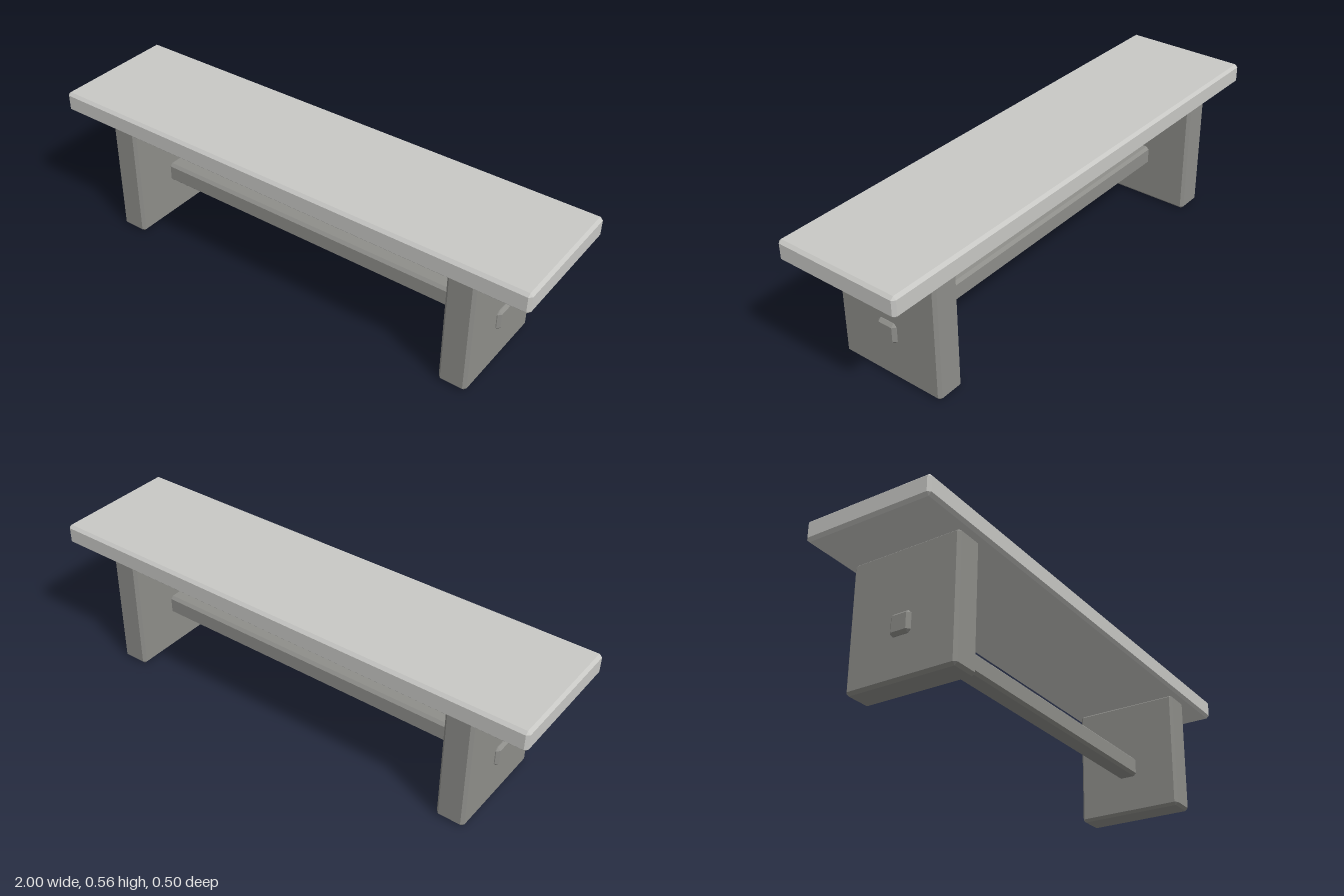
import * as THREE from 'three';
import { ConvexGeometry } from 'three/addons/geometries/ConvexGeometry.js';

// Box with every edge chamfered: three corner points at each of the 8 corners
function chamferedBox(w, h, d, c) {
  const points = [];
  for (const sx of [-1, 1]) for (const sy of [-1, 1]) for (const sz of [-1, 1]) {
    const x = w / 2, y = h / 2, z = d / 2;
    points.push(
      new THREE.Vector3(sx * x, sy * (y - c), sz * (z - c)),
      new THREE.Vector3(sx * (x - c), sy * y, sz * (z - c)),
      new THREE.Vector3(sx * (x - c), sy * (y - c), sz * z)
    );
  }
  return new ConvexGeometry(points);
}

export function createModel() {
  const bench = new THREE.Group();
  bench.name = 'bench';

  const seatGrey = new THREE.MeshStandardMaterial({ color: 0xc8c8c5 });
  seatGrey.name = 'lightGrey';
  const legGrey = new THREE.MeshStandardMaterial({ color: 0x8e8e8a });
  legGrey.name = 'midGrey';

  const add = (name, size, material, x, y) => {
    const mesh = new THREE.Mesh(chamferedBox(...size, 0.011), material);
    mesh.name = name;
    mesh.position.set(x, y, 0);
    bench.add(mesh);
  };

  // Seat plank
  add('seat', [2, 0.08, 0.502], seatGrey, 0, 0.515);

  // Slab legs, tucked slightly into the seat
  for (const [name, side] of [['leftLeg', 1], ['rightLeg', -1]]) {
    add(name, [0.11, 0.481, 0.435], legGrey, side * 0.743, 0.2405);
  }

  // Stretcher bar passing through both legs
  add('stretcher', [1.624, 0.08, 0.08], legGrey, 0, 0.195);

  return bench;
}
